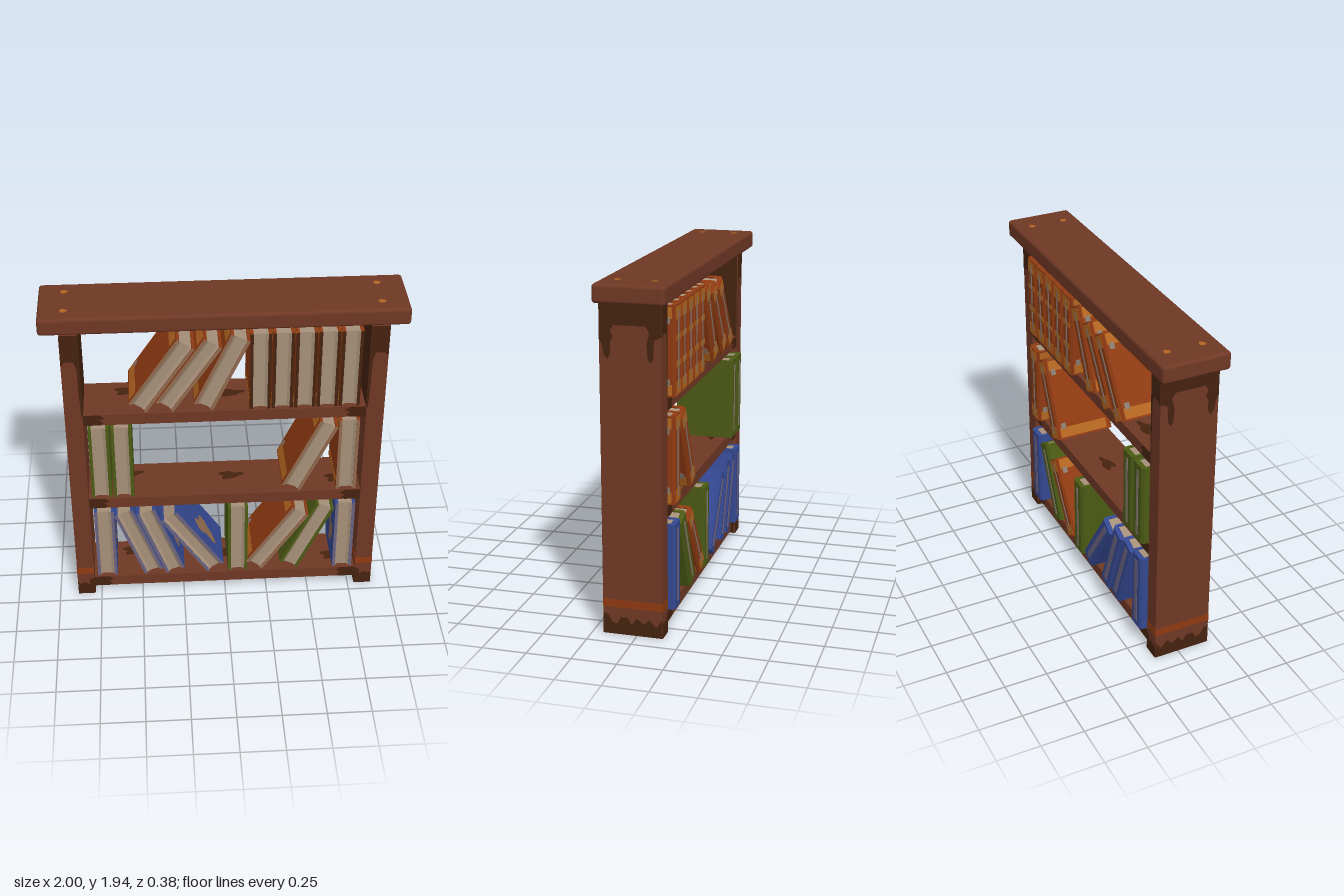
import * as THREE from 'three';
import { RoundedBoxGeometry } from 'three/addons/geometries/RoundedBoxGeometry.js';

const mat = (name, color, side = THREE.FrontSide) => {
  const m = new THREE.MeshStandardMaterial({ color, side });
  m.name = name;
  return m;
};

export function createModel() {
  const wood = mat('wood', 0x6f3825);
  const dark = mat('darkWood', 0x45220f);
  const rust = mat('rustCover', 0x8f3a12);
  const gold = mat('gold', 0xb3651f);
  const pages = mat('pages', 0xa69079);
  const blue = mat('blueCover', 0x344891);
  const green = mat('greenCover', 0x4b5a14);
  const lavender = mat('wornBlue', 0x6a6280);
  const tan = mat('wornLeather', 0x90694f);
  const grey = mat('greyTrim', 0x877a6e);

  const model = new THREE.Group();
  model.name = 'bookcase';

  const add = (parent, name, geo, material, x = 0, y = 0, z = 0) => {
    const m = new THREE.Mesh(geo, material);
    m.name = name;
    m.position.set(x, y, z);
    parent.add(m);
    return m;
  };
  const box = (parent, name, material, w, h, d, x, y, z) =>
    add(parent, name, new THREE.BoxGeometry(w, h, d), material, x, y, z);
  const flat = (pts) => new THREE.ShapeGeometry(new THREE.Shape(pts.map(([x, y]) => new THREE.Vector2(x, y))));
  // Irregular rounded outline for stains and worn spots
  const blob = (rx, ry, wobble = 0.25) => {
    const pts = [];
    for (let i = 0; i < 20; i++) {
      const a = (i / 20) * Math.PI * 2;
      const r = 1 + wobble * Math.sin(a * 3 + 1) + wobble * 0.6 * Math.sin(a * 5);
      pts.push([rx * r * Math.cos(a), ry * r * Math.sin(a)]);
    }
    return flat(pts);
  };
  // Upright section drawn as (x, distance behind centre), extruded upwards
  const section = (pts, h) => {
    const shape = new THREE.Shape(pts.map(([x, d]) => new THREE.Vector2(x, d)));
    return new THREE.ExtrudeGeometry(shape, { depth: h, bevelEnabled: false })
      .rotateX(-Math.PI / 2).translate(0, -h / 2, 0);
  };

  // Top board with four pegs
  add(model, 'topBoard', new RoundedBoxGeometry(2, 0.1, 0.385, 3, 0.018), wood, 0, 1.888, 0);
  for (const x of [-0.86, 0.85]) for (const z of [-0.1, 0.1]) {
    add(model, 'peg', blob(0.02, 0.018, 0.12), gold, x, 1.9395, z).rotation.x = -Math.PI / 2;
  }
  for (const x of [-0.9, -0.35, 0.3, 0.9]) {
    add(model, 'topBoardStain', blob(0.07, 0.05), dark, x, 1.8365, -0.08).rotation.x = Math.PI / 2;
  }

  // Side posts with stained ends; profiles are (z, y) outside and (x, y) front and back
  const outerTop = [[0.19, 1.838], [0.19, 1.63], [0.175, 1.61], [0.165, 1.55], [0.145, 1.53], [0.13, 1.56],
    [0.13, 1.62], [0.115, 1.65], [0.13, 1.68], [0.11, 1.71], [-0.06, 1.71], [-0.08, 1.68], [-0.065, 1.62],
    [-0.07, 1.54], [-0.085, 1.52], [-0.1, 1.54], [-0.105, 1.64], [-0.145, 1.66], [-0.145, 1.838]];
  const outerFoot = [[0.19, 0], [0.19, 0.12], [0.16, 0.11], [0.14, 0.07], [0.11, 0.06], [0.09, 0.1], [0.05, 0.1],
    [0.03, 0.06], [0, 0.1], [-0.04, 0.07], [-0.07, 0.1], [-0.11, 0.06], [-0.145, 0.11], [-0.145, 0]];
  const frontTop = [[0.79, 1.838], [0.79, 1.31], [0.797, 1.31], [0.803, 1.45], [0.805, 1.62], [0.82, 1.67],
    [0.87, 1.67], [0.89, 1.64], [0.89, 1.838]];
  const frontFoot = [[0.79, 0], [0.79, 0.12], [0.815, 0.11], [0.82, 0.07], [0.845, 0.09], [0.87, 0.075],
    [0.89, 0.09], [0.89, 0]];
  for (const s of [-1, 1]) {
    const post = new THREE.Group();
    post.name = s > 0 ? 'leftPost' : 'rightPost';
    model.add(post);
    box(post, 'postBody', wood, 0.1, 1.84, 0.335, s * 0.84, 0.92, 0.0225);
    box(post, 'postBand', rust, 0.103, 0.045, 0.338, s * 0.84, 0.178, 0.0225);
    for (const pts of [outerTop, outerFoot]) {
      add(post, 'outerStain', flat(pts.map(([z, y]) => [-s * z, y])), dark, s * 0.8915).rotation.y = s * Math.PI / 2;
    }
    for (const pts of [frontTop, frontFoot]) {
      add(post, 'frontStain', flat(pts.map(([x, y]) => [s * x, y])), dark, 0, 0, 0.1915);
      add(post, 'backStain', flat(pts.map(([x, y]) => [-s * x, y])), dark, 0, 0, -0.1465).rotation.y = Math.PI;
    }
    box(post, 'innerStain', dark, 0.004, 0.53, 0.325, s * 0.79, 1.573, 0.0225);
    box(post, 'innerFootStain', dark, 0.004, 0.12, 0.325, s * 0.79, 0.06, 0.0225);
  }

  // Shelves with dark worn ends and blotches
  for (const y of [0.085, 0.685, 1.275]) {
    const shelf = new THREE.Group();
    shelf.name = 'shelf';
    shelf.position.y = y;
    model.add(shelf);
    box(shelf, 'shelfBoard', wood, 1.58, 0.068, 0.32, 0, 0, 0.02);
    for (const s of [-1, 1]) {
      const end = [[0.79, -0.034], [0.7, -0.034], [0.68, -0.02], [0.7, 0], [0.67, 0.012], [0.7, 0.034], [0.79, 0.034]]
        .map(([x, v]) => [s * x, v]);
      add(shelf, 'shelfEndStain', flat(end), dark, 0, 0, 0.1815);
      add(shelf, 'shelfEndStain', flat(end), dark, 0, 0, -0.1415).rotation.y = Math.PI;
      for (const [x, z] of [[0.04, 0], [-0.55, -0.05], [0.66, 0.06]]) {
        add(shelf, 'shelfStain', blob(0.065, 0.035), dark, x, s * 0.0355, z).rotation.x = -s * Math.PI / 2;
      }
    }
  }

  // Books: two boards, a chamfered spine, hollowed page block and painted trim
  const styles = {
    blue: { side: blue, edge: lavender, spine: blue, strip: lavender, stripW: 0.035 },
    green: { side: green, edge: green, spine: green, strip: grey, stripW: 0.02 },
    orange: { side: rust, edge: tan, spine: rust, strip: grey, stripW: 0.016, bands: [-0.2, 0.2] },
    brown: { side: rust, edge: dark, spine: rust, strip: grey, stripW: 0.016, bands: [-0.2, -0.07, 0.07, 0.2] },
  };
  const H = 0.488, W = 0.117;
  const pageGeo = section([[-0.041, 0.16], [-0.041, -0.167], [-0.025, -0.155], [0.025, -0.155],
    [0.041, -0.167], [0.041, 0.16]], H - 0.012);
  const spineGeo = section([[-W / 2, 0.15], [W / 2, 0.15], [W / 2, 0.166], [0.042, 0.179],
    [-0.042, 0.179], [-W / 2, 0.166]], H);

  const addBook = (style, x, y, lean = 0) => {
    const t = styles[style];
    const book = new THREE.Group();
    book.name = style + 'Book';
    book.position.set(x, y, 0);
    book.rotation.z = -lean * Math.PI / 180;
    model.add(book);
    add(book, 'pageBlock', pageGeo, pages);
    add(book, 'spine', spineGeo, t.spine);
    box(book, 'spineStrip', t.strip, t.stripW, H * 0.86, 0.004, 0, 0, -0.1795);
    for (const s of [-1, 1]) {
      box(book, 'coverBoard', [t.side, t.side, t.side, t.side, t.edge, t.side], 0.018, H, 0.32, s * (W / 2 - 0.009), 0, 0.01);
      if (t.bands) for (const e of [-1, 1]) {
        box(book, 'coverBand', gold, 0.002, 0.06, 0.3, s * W / 2, e * 0.205, -0.01);
        box(book, 'coverCorner', grey, 0.004, 0.035, 0.03, s * W / 2, e * 0.165, -0.135);
      }
      if (style === 'blue') {
        add(book, 'wornPatch', blob(0.06, 0.1), tan, s * (W / 2 + 0.001), -0.05, 0.03).rotation.y = s * Math.PI / 2;
      }
    }
    for (const v of t.bands ?? []) {
      box(book, 'spineBand', gold, 0.084, Math.abs(v) > 0.1 ? 0.07 : 0.03, 0.003, 0, v, -0.179);
    }
  };

  // Top shelf
  for (let i = 0; i < 5; i++) addBook('brown', 0.195 + i * 0.125, 1.554);
  addBook('orange', -0.35, 1.543, 34);
  addBook('orange', -0.2, 1.543, 34);
  addBook('orange', -0.017, 1.555, 25);
  // Middle shelf
  addBook('green', -0.712, 0.965);
  addBook('green', -0.585, 0.965);
  addBook('orange', 0.488, 0.963, 25);
  addBook('orange', 0.705, 0.965);
  // Bottom shelf
  addBook('blue', -0.708, 0.366);
  addBook('blue', -0.512, 0.367, -20);
  addBook('blue', -0.382, 0.367, -20);
  addBook('blue', -0.193, 0.352, -34);
  addBook('green', 0.077, 0.366);
  addBook('orange', 0.312, 0.357, 34);
  addBook('green', 0.488, 0.37, 25);
  addBook('blue', 0.711, 0.366);

  return model;
}
